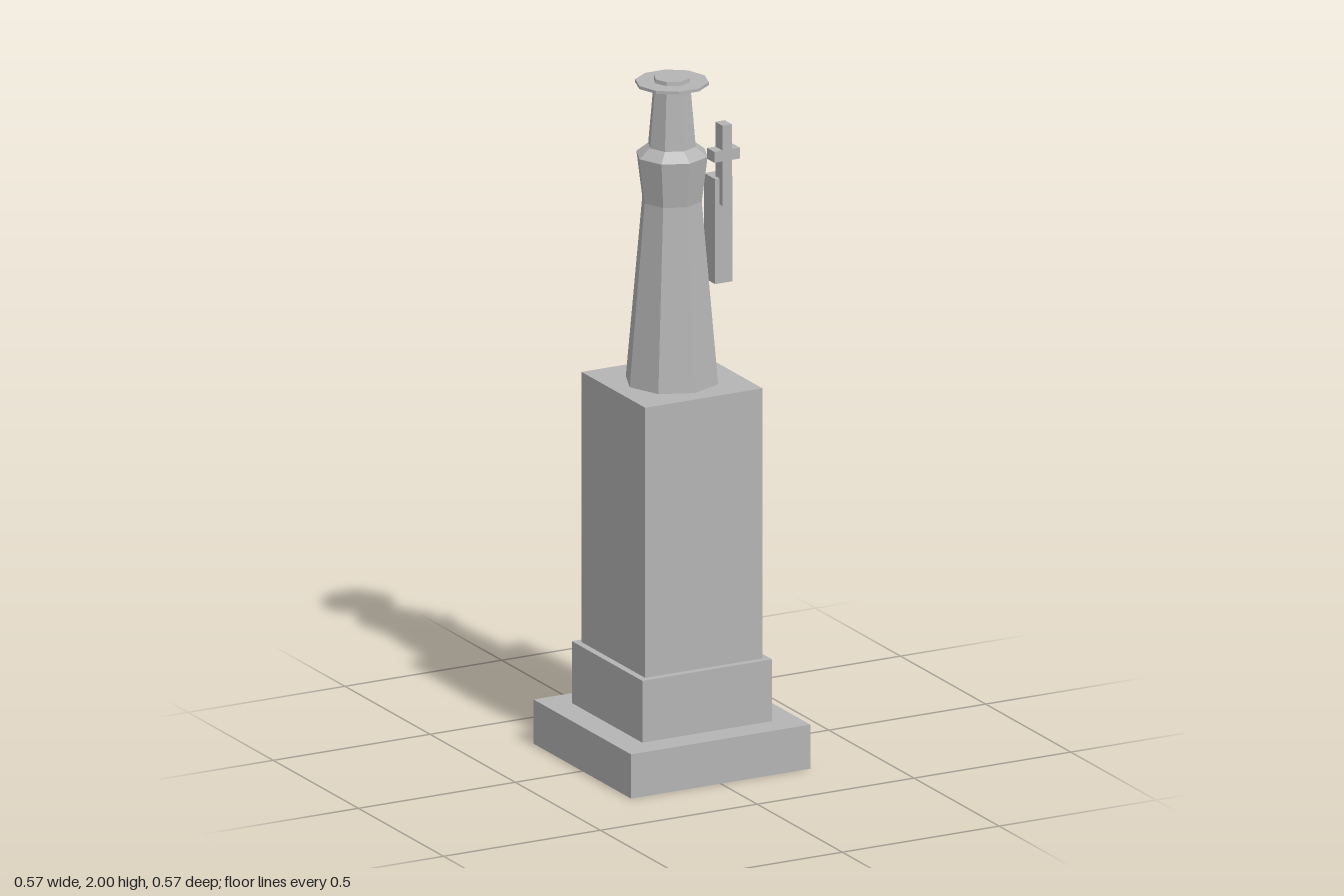
import * as THREE from 'three';

export function createModel() {
  const model = new THREE.Group();
  model.name = 'monument';

  const stone = new THREE.MeshStandardMaterial({ color: 0xb4b4b4 });
  stone.name = 'grey stone';
  stone.flatShading = true;

  const add = (name, geometry, parent = model) => {
    const mesh = new THREE.Mesh(geometry, stone);
    mesh.name = name;
    parent.add(mesh);
    return mesh;
  };

  // Box given by its lower and upper bounds on each axis
  const box = (name, [x0, x1], [y0, y1], [z0, z1], parent) => {
    const mesh = add(name, new THREE.BoxGeometry(x1 - x0, y1 - y0, z1 - z0), parent);
    mesh.position.set((x0 + x1) / 2, (y0 + y1) / 2, (z0 + z1) / 2);
    return mesh;
  };

  // Octagonal turned form with a corner on each axis
  const octagon = (name, profile, parent) =>
    add(name, new THREE.LatheGeometry(profile.map(([r, y]) => new THREE.Vector2(r, y)), 8).toNonIndexed(), parent);

  // Stepped square pedestal
  const pedestal = new THREE.Group();
  pedestal.name = 'pedestal';
  model.add(pedestal);
  for (const [name, half, y0, y1] of [
    ['baseSlab', 0.286, 0, 0.13],
    ['plinth', 0.207, 0.13, 0.312],
    ['shaft', 0.187, 0.312, 1.107],
  ]) box(name, [-half, half], [y0, y1], [-half, half], pedestal);

  // Robed figure: body with shoulders, then the tapered head
  const figure = new THREE.Group();
  figure.name = 'figure';
  model.add(figure);
  octagon('robe', [[0, 1.107], [0.135, 1.107], [0.087, 1.64], [0.104, 1.773], [0.07, 1.8], [0, 1.8]], figure);
  octagon('head', [[0, 1.795], [0.07, 1.795], [0.052, 2], [0, 2]], figure);

  // Thin ten-sided brim around the head
  const brim = add('brim', new THREE.CylinderGeometry(0.104, 0.104, 0.009, 10), figure);
  brim.rotation.y = Math.PI / 2;
  brim.position.y = 1.984;

  // Arm and the cross held in front of it
  box('leftArm', [0.08, 0.135], [1.407, 1.716], [0.041, 0.106], figure);
  const cross = new THREE.Group();
  cross.name = 'cross';
  figure.add(cross);
  box('crossUpright', [0.094, 0.124], [1.64, 1.876], [0.081, 0.123], cross);
  box('crossBar', [0.068, 0.15], [1.771, 1.803], [0.081, 0.123], cross);

  return model;
}
